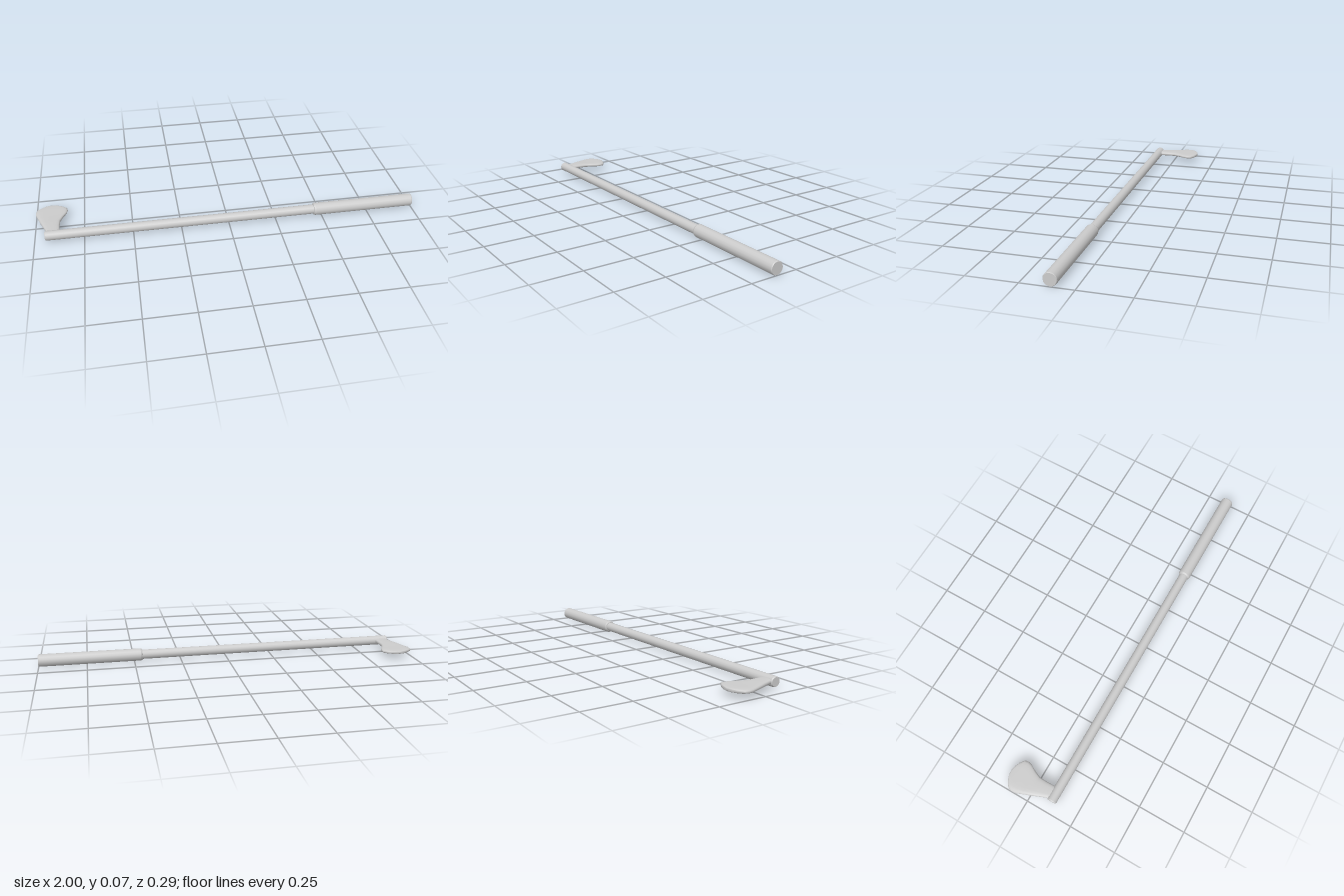
import * as THREE from 'three';

const material = new THREE.MeshStandardMaterial({ color: 0xcccccc, side: THREE.DoubleSide });
const AXIS_Y = 0.034, AXIS_Z = 0.11;

// Turned part lying along x, from [x, radius] pairs; each pair of points is its own band, so edges stay sharp
function turnedPart(name, profile) {
  const group = new THREE.Group();
  group.name = name;
  for (let i = 0; i < profile.length - 1; i++) {
    const points = [profile[i], profile[i + 1]].map(([x, r]) => new THREE.Vector2(r, x));
    const band = new THREE.Mesh(new THREE.LatheGeometry(points, 16), material);
    band.name = name + 'Band';
    band.rotation.z = -Math.PI / 2;
    group.add(band);
  }
  group.position.set(0, AXIS_Y, AXIS_Z);
  return group;
}

// Club head: rounded flat cross-sections lofted backwards from the shaft
function clubHead() {
  // z, left x, right x, half height
  const sections = [
    [0.11, -0.942, -0.872, 0.012],
    [0.08, -0.941, -0.872, 0.012],
    [0.04, -0.957, -0.873, 0.012],
    [0.0, -0.973, -0.872, 0.012],
    [-0.035, -0.986, -0.858, 0.012],
    [-0.07, -0.999, -0.839, 0.012],
    [-0.09, -1.0, -0.834, 0.012],
    [-0.11, -0.994, -0.836, 0.012],
    [-0.128, -0.97, -0.86, 0.011],
    [-0.138, -0.95, -0.885, 0.01],
    [-0.143, -0.932, -0.905, 0.007],
    [-0.143, -0.919, -0.918, 0.0005],
  ];
  const sides = 20, positions = [], indices = [];
  const soften = (v) => Math.sign(v) * Math.abs(v) ** 0.65;
  sections.forEach(([z, left, right, half], s) => {
    for (let i = 0; i < sides; i++) {
      const a = (i / sides) * Math.PI * 2;
      const u = soften(Math.cos(a)), v = soften(Math.sin(a));
      // faces of the blade are slightly dished
      const dish = s > 3 && s < 10 ? 1 - 0.18 * (1 - u * u) : 1;
      positions.push((left + right) / 2 + u * (right - left) / 2, 0.0355 + v * half * dish, z);
      if (s < sections.length - 1) {
        const p = s * sides + i, q = s * sides + (i + 1) % sides;
        indices.push(p, p + sides, q, q, p + sides, q + sides);
      }
    }
  });
  const geometry = new THREE.BufferGeometry();
  geometry.setAttribute('position', new THREE.Float32BufferAttribute(positions, 3));
  geometry.setIndex(indices);
  geometry.computeVertexNormals();
  const mesh = new THREE.Mesh(geometry, material);
  mesh.name = 'clubHead';
  return mesh;
}

export function createModel() {
  const model = new THREE.Group();
  model.name = 'golfClub';
  model.add(
    turnedPart('shaft', [[-0.945, 0], [-0.945, 0.022], [-0.94, 0.025], [0.47, 0.025]]),
    turnedPart('grip', [[0.455, 0.024], [0.456, 0.029], [0.465, 0.033], [0.996, 0.033], [1, 0.031], [1, 0]]),
    clubHead(),
  );
  return model;
}
